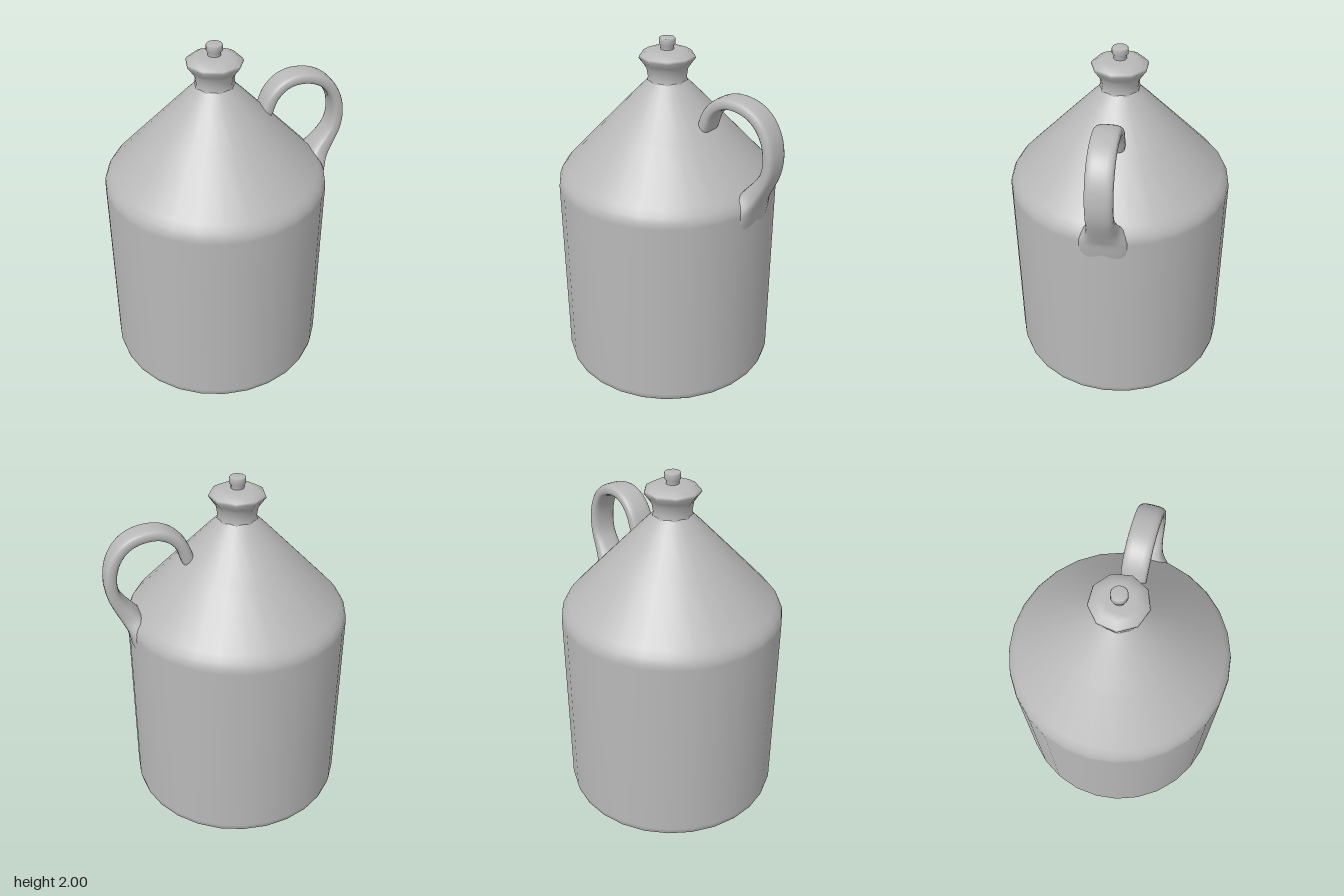
import * as THREE from 'three';

const AXIS_X = -0.06;
const glaze = new THREE.MeshStandardMaterial({ color: 0xb8b8b8 });
glaze.name = 'grey stoneware';

// Turned part around the jug's axis; profile is [radius, height] from bottom to top
function turned(name, profile, sides) {
  const points = profile.map(([r, y]) => new THREE.Vector2(r, y));
  const mesh = new THREE.Mesh(new THREE.LatheGeometry(points, sides), glaze);
  mesh.name = name;
  mesh.position.x = AXIS_X;
  return mesh;
}

// Rounded strap swept in the xy plane; stations are [x, y, half thickness, half width]
function strap(stations, steps, around) {
  const path = new THREE.CatmullRomCurve3(
    stations.map(([x, y]) => new THREE.Vector3(x, y, 0)), false, 'catmullrom');
  const sizes = new THREE.CatmullRomCurve3(
    stations.map(([, , t, w]) => new THREE.Vector3(t, w, 0)), false, 'catmullrom');
  const soft = (v) => Math.sign(v) * Math.pow(Math.abs(v), 0.65);
  const position = [], index = [];
  for (let i = 0; i <= steps; i++) {
    const p = path.getPoint(i / steps);
    const d = path.getTangent(i / steps);
    const s = sizes.getPoint(i / steps);
    for (let j = 0; j < around; j++) {
      const a = (j / around) * Math.PI * 2;
      const n = soft(Math.cos(a)) * s.x;
      position.push(p.x - d.y * n, p.y + d.x * n, soft(Math.sin(a)) * s.y);
      if (i === steps) continue;
      const k = (j + 1) % around, r = i * around, q = r + around;
      index.push(r + j, r + k, q + j, r + k, q + k, q + j);
    }
  }
  const geometry = new THREE.BufferGeometry();
  geometry.setAttribute('position', new THREE.Float32BufferAttribute(position, 3));
  geometry.setIndex(index);
  geometry.computeVertexNormals();
  return geometry;
}

export function createModel() {
  const jug = new THREE.Group();
  jug.name = 'jug';

  // Straight-sided body with a conical shoulder
  jug.add(turned('body', [
    [0, 0], [0.58, 0], [0.605, 0.006], [0.622, 0.022], [0.63, 0.06],
    [0.63, 1.17], [0.626, 1.2], [0.612, 1.23], [0.585, 1.265],
    [0.35, 1.515], [0.17, 1.705], [0.1, 1.775],
  ], 28));

  // Waisted neck and flared lip, with fewer sides than the body
  jug.add(turned('neck', [
    [0.135, 1.70], [0.115, 1.75], [0.108, 1.79], [0.115, 1.835],
    [0.135, 1.865], [0.157, 1.895], [0.152, 1.908], [0.115, 1.93],
    [0.08, 1.937], [0, 1.937],
  ], 9));

  // Small stopper, wider at its top
  jug.add(turned('stopper', [
    [0.036, 1.93], [0.036, 1.955], [0.045, 1.965], [0.045, 1.992],
    [0.041, 2], [0, 2],
  ], 16));

  // Loop handle that flares into the shoulder at its lower end
  const handle = new THREE.Mesh(strap([
    [0.19, 1.50, 0.038, 0.06], [0.225, 1.565, 0.037, 0.07],
    [0.26, 1.655, 0.035, 0.073], [0.32, 1.718, 0.034, 0.073],
    [0.40, 1.745, 0.034, 0.073], [0.50, 1.733, 0.034, 0.073],
    [0.58, 1.685, 0.034, 0.073], [0.635, 1.60, 0.034, 0.073],
    [0.655, 1.50, 0.035, 0.073], [0.645, 1.41, 0.037, 0.073],
    [0.61, 1.335, 0.044, 0.076], [0.565, 1.265, 0.055, 0.09],
    [0.53, 1.20, 0.06, 0.13], [0.52, 1.12, 0.053, 0.14],
    [0.515, 1.0, 0.03, 0.12],
  ], 56, 20), glaze);
  handle.name = 'handle';
  jug.add(handle);

  return jug;
}
